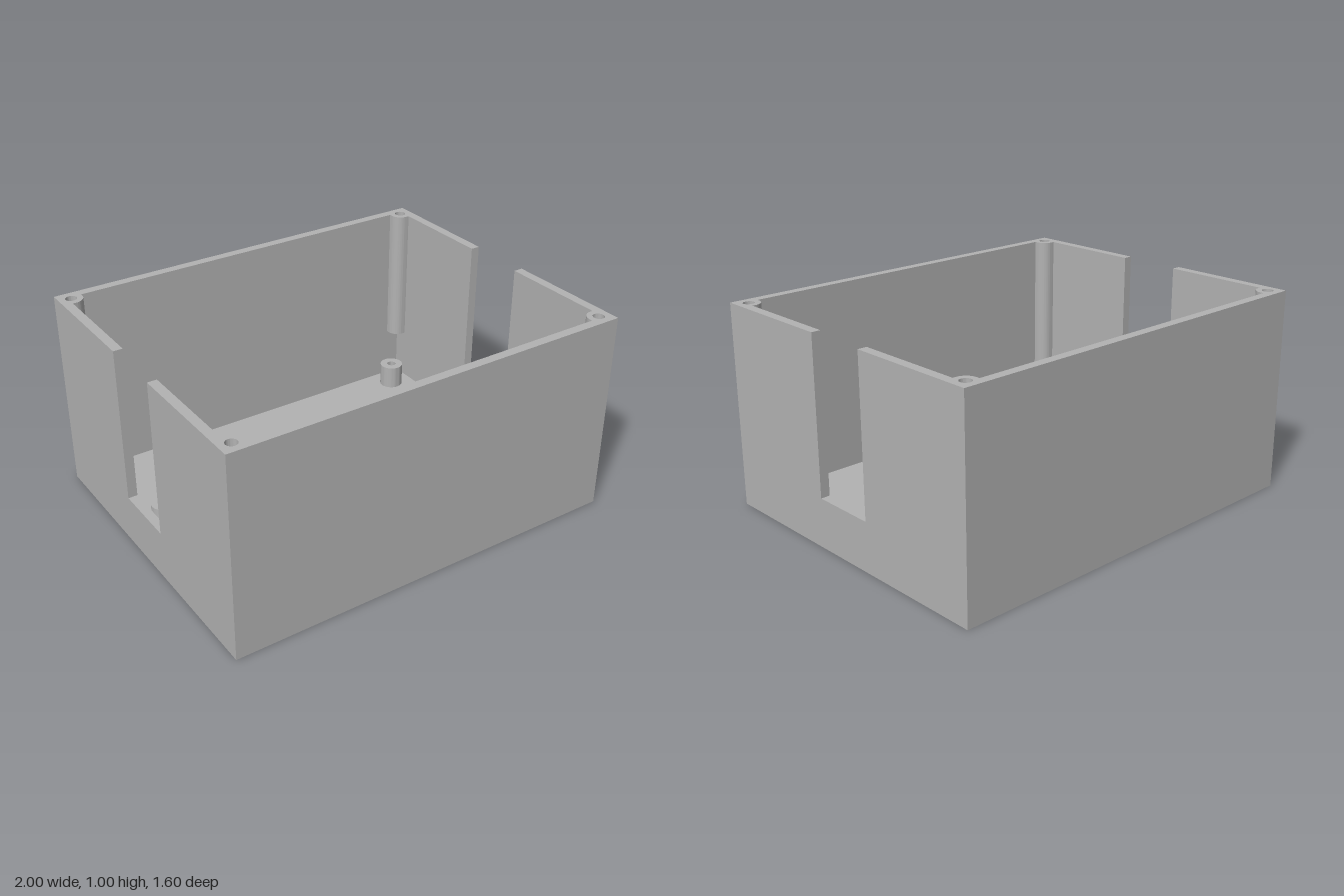
import * as THREE from 'three';
import { toCreasedNormals } from 'three/addons/utils/BufferGeometryUtils.js';

const X = 1, Z = 0.8, H = 0.995;        // outer half width, half depth, height
const WALL = 0.045, FLOOR = 0.04;
const IX = X - WALL, IZ = Z - WALL;     // inner half sizes
const SILL = 0.24, NOTCH = 0.16;        // notch bottom and half width
const POST_Y = 0.3, POST_R = 0.055, PX = 0.94, PZ = 0.74;

export function createModel() {
  const model = new THREE.Group();
  const grey = new THREE.MeshStandardMaterial({ color: 0xb2b2b2 });
  grey.name = 'greyPlastic';

  const add = (name, geometry, x = 0, y = 0, z = 0) => {
    const mesh = new THREE.Mesh(geometry, grey);
    mesh.name = name;
    mesh.position.set(x, y, z);
    model.add(mesh);
    return mesh;
  };
  // Extrude a plan outline upwards
  const rise = (shape, height) => toCreasedNormals(
    new THREE.ExtrudeGeometry(shape, { depth: height, bevelEnabled: false, curveSegments: 24 })
      .rotateX(-Math.PI / 2), 0.6);
  const hole = (x, y, r) => new THREE.Path().absarc(x, y, r, 0, Math.PI * 2, true);

  // Floor plate and closed lower wall up to the notch sill
  add('floor', new THREE.BoxGeometry(2 * X, FLOOR, 2 * Z), 0, FLOOR / 2, 0);
  const rect = (s, x, y) => s.moveTo(-x, -y).lineTo(x, -y).lineTo(x, y).lineTo(-x, y).closePath();
  const ring = rect(new THREE.Shape(), X, Z);
  ring.holes.push(rect(new THREE.Path(), IX, IZ));
  add('lowerWall', rise(ring, SILL - FLOOR), 0, FLOOR, 0);

  // Half of the wall between the notches, with or without the corner screw posts
  const halfWall = (posts) => {
    const s = new THREE.Shape();
    s.moveTo(X, NOTCH).lineTo(X, Z).lineTo(-X, Z).lineTo(-X, NOTCH).lineTo(-IX, NOTCH);
    if (posts) {
      s.lineTo(-IX, PZ - POST_R).lineTo(-PX, PZ - POST_R);
      s.absarc(-PX, PZ, POST_R, -Math.PI / 2, 0, false);
      s.lineTo(-PX + POST_R, IZ).lineTo(PX - POST_R, IZ).lineTo(PX - POST_R, PZ);
      s.absarc(PX, PZ, POST_R, Math.PI, Math.PI * 1.5, false);
      s.lineTo(IX, PZ - POST_R);
      for (const k of [-1, 1]) s.holes.push(hole(k * PX, PZ, 0.027));
    } else {
      s.lineTo(-IX, IZ).lineTo(IX, IZ);
    }
    s.lineTo(IX, NOTCH).closePath();
    return s;
  };
  const middle = rise(halfWall(false), POST_Y - SILL);
  const upper = rise(halfWall(true), H - POST_Y);
  [['back', 0], ['front', Math.PI]].forEach(([side, turn]) => {
    add(side + 'MiddleWall', middle, 0, SILL, 0).rotation.y = turn;
    add(side + 'UpperWallWithPosts', upper, 0, POST_Y, 0).rotation.y = turn;
  });

  // Support rails on the floor
  for (const k of [-1, 1]) {
    add(k > 0 ? 'leftRail' : 'rightRail', new THREE.BoxGeometry(0.08, 0.08, 0.4), k * 0.8, FLOOR + 0.04, 0);
  }

  // Hollow board standoffs
  const tube = new THREE.Shape().absarc(0, 0, 0.06, 0, Math.PI * 2, false);
  tube.holes.push(hole(0, 0, 0.022));
  const standoff = rise(tube, 0.12);
  [[-0.835, -0.64], [0.835, -0.64], [-0.835, -0.145], [0.835, 0.63]]
    .forEach(([x, z], i) => add('standoff' + (i + 1), standoff, x, FLOOR, z));

  return model;
}
